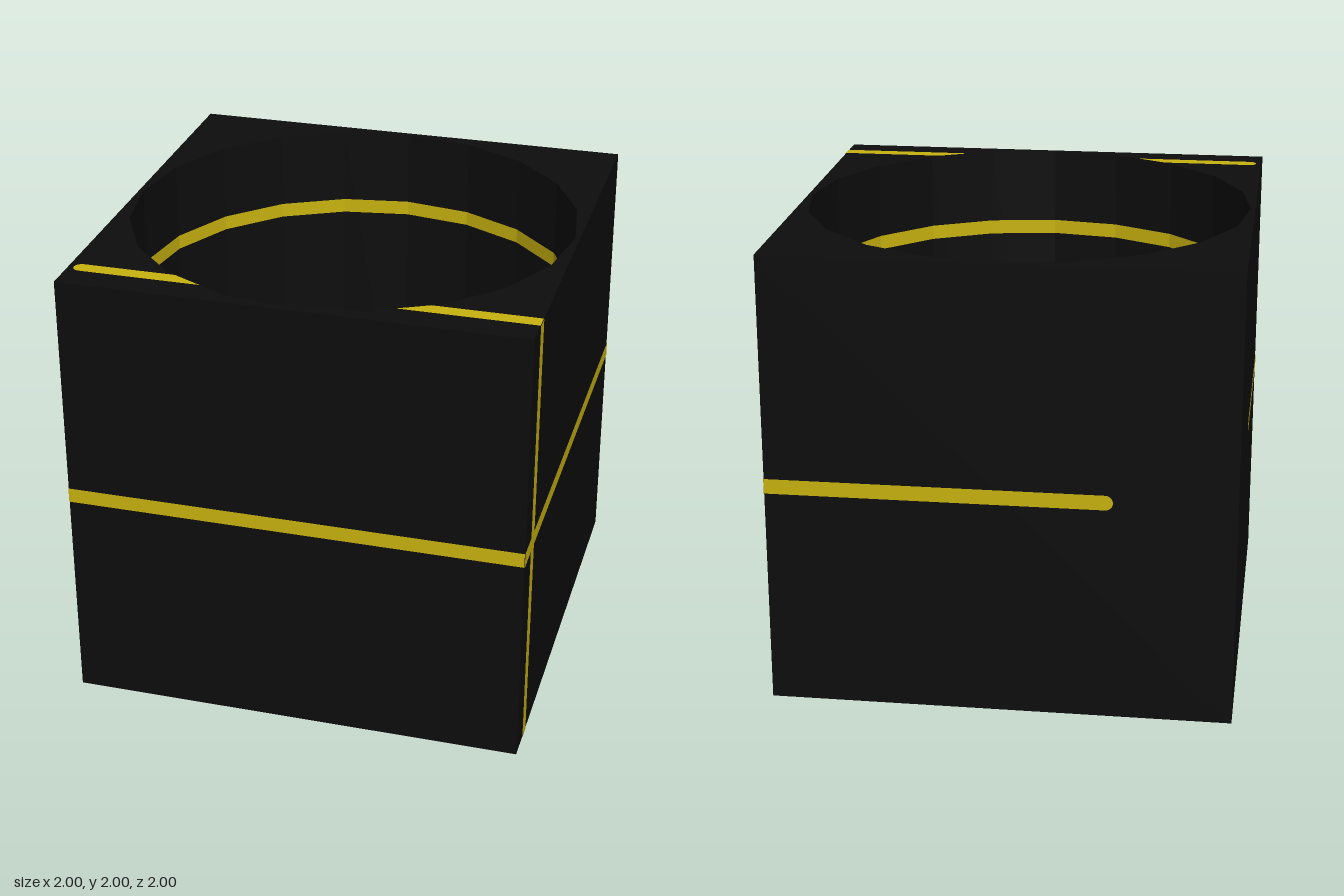
import * as THREE from 'three';

const R = 0.98, SIDES = 20, LIFT = 0.002, HALF = 0.033;
const STEP = (Math.PI * 2) / SIDES;

// flat stripe outline along u, centred on v, with optional rounded ends
function stripeShape(u0, u1, v, roundStart, roundEnd) {
  const s = new THREE.Shape();
  const a = roundStart ? u0 + HALF : u0, b = roundEnd ? u1 - HALF : u1;
  s.moveTo(a, v - HALF);
  s.lineTo(b, v - HALF);
  if (roundEnd) s.absarc(b, v, HALF, -Math.PI / 2, Math.PI / 2);
  else s.lineTo(b, v + HALF);
  s.lineTo(a, v + HALF);
  if (roundStart) s.absarc(a, v, HALF, Math.PI / 2, Math.PI * 1.5);
  return s;
}

// distance of the bore's flat-sided wall from its axis at a given angle
function wallRadius(a) {
  const m = ((a % STEP) + STEP) % STEP;
  return (R * Math.cos(STEP / 2)) / Math.cos(m - STEP / 2);
}

// band following the flat sides of the bore, tapered to round ends
function boreBand(startDeg, endDeg, y) {
  const a0 = THREE.MathUtils.degToRad(startDeg), a1 = THREE.MathUtils.degToRad(endDeg);
  const cap = HALF / R;
  const sections = [];
  for (const t of [0, 0.15, 0.5, 1]) {
    const h = HALF * Math.sqrt(1 - (1 - t) ** 2);
    sections.push([a0 + cap * t, h], [a1 - cap * t, h]);
  }
  for (let k = Math.ceil((a0 + cap) / STEP); k * STEP < a1 - cap; k++) sections.push([k * STEP, HALF]);
  sections.sort((p, q) => p[0] - q[0]);
  const pos = [], index = [];
  sections.forEach(([a, h], i) => {
    const r = wallRadius(a) - LIFT, x = r * Math.cos(a), z = r * Math.sin(a);
    pos.push(x, y - h, z, x, y + h, z);
    if (i) {
      const n = i * 2;
      index.push(n - 2, n, n - 1, n, n + 1, n - 1);
    }
  });
  const g = new THREE.BufferGeometry();
  g.setAttribute('position', new THREE.Float32BufferAttribute(pos, 3));
  g.setIndex(index);
  const flat = g.toNonIndexed();
  flat.computeVertexNormals();
  return flat;
}

export function createModel() {
  const black = new THREE.MeshStandardMaterial({ color: 0x0d0d0d });
  black.name = 'black';
  const yellow = new THREE.MeshStandardMaterial({ color: 0xc8b20f, side: THREE.DoubleSide });
  yellow.name = 'yellow';

  const model = new THREE.Group();
  model.name = 'hollowCube';
  const add = (name, geometry, material) => {
    const mesh = new THREE.Mesh(geometry, material);
    mesh.name = name;
    model.add(mesh);
    return mesh;
  };

  // cube with a twenty-sided bore from top to bottom
  const square = new THREE.Shape([[-1, -1], [1, -1], [1, 1], [-1, 1]].map(p => new THREE.Vector2(...p)));
  const hole = [];
  for (let i = 0; i < SIDES; i++) hole.push(new THREE.Vector2(R * Math.cos(i * STEP), R * Math.sin(i * STEP)));
  square.holes.push(new THREE.Path(hole.reverse()));
  const body = new THREE.ExtrudeGeometry(square, { depth: 2, bevelEnabled: false });
  body.rotateX(-Math.PI / 2);
  add('body', body, black);

  // stripe running round the four sides, open at the back left
  const Y = 0.987, OUT = 1 + LIFT;
  const sides = [
    ['frontStripe', 0, -1, 1, false, false],
    ['leftStripe', Math.PI / 2, -1, 1, false, false],
    ['backStripe', Math.PI, -1, 0.48, false, true],
    ['rightStripe', -Math.PI / 2, -0.03, 1, true, false],
  ];
  for (const [name, turn, u0, u1, r0, r1] of sides) {
    const g = new THREE.ShapeGeometry(stripeShape(u0, u1, Y, r0, r1), 8);
    g.translate(0, 0, OUT);
    add(name, g.rotateY(turn), yellow);
  }

  // upright stripe near the front edge of the left side
  const Z = 0.843;
  const upright = new THREE.ShapeGeometry(stripeShape(0, 2, 0, false, false));
  upright.rotateZ(Math.PI / 2).translate(-Z, 0, OUT).rotateY(Math.PI / 2);
  add('uprightStripe', upright, yellow);

  // top and bottom stripes, cut where they meet the bore
  const edgeX = z => {
    const a = 3 * STEP, b = 4 * STEP;
    const t = (z / R - Math.sin(a)) / (Math.sin(b) - Math.sin(a));
    return R * (Math.cos(a) + t * (Math.cos(b) - Math.cos(a)));
  };
  const xNear = edgeX(Z - HALF), xFar = edgeX(Z + HALF);
  for (const [name, y, end] of [['topStripe', 2 + LIFT, -0.975], ['bottomStripe', -LIFT, -0.8]]) {
    const long = new THREE.Shape([
      [xFar, Z + HALF], [xNear, Z - HALF], [1, Z - HALF], [1, Z + HALF],
    ].map(p => new THREE.Vector2(...p)));
    const short = new THREE.Shape();
    short.moveTo(-xFar, Z + HALF);
    short.lineTo(end + HALF, Z + HALF);
    short.absarc(end + HALF, Z, HALF, Math.PI / 2, Math.PI * 1.5);
    short.lineTo(-xNear, Z - HALF);
    const g = new THREE.ShapeGeometry([long, short], 8);
    g.rotateX(Math.PI / 2).translate(0, y, 0); // shape v becomes +z, facing down
    if (y > 1) {
      // turn the faces upward
      const ix = g.index;
      for (let i = 0; i < ix.count; i += 3) {
        const t = ix.getX(i);
        ix.setX(i, ix.getX(i + 2));
        ix.setX(i + 2, t);
      }
      g.computeVertexNormals();
    }
    add(name, g, yellow);
  }

  // band on the bore wall, open on the left
  add('boreStripe', boreBand(10, 328, 1.625), yellow);

  return model;
}
